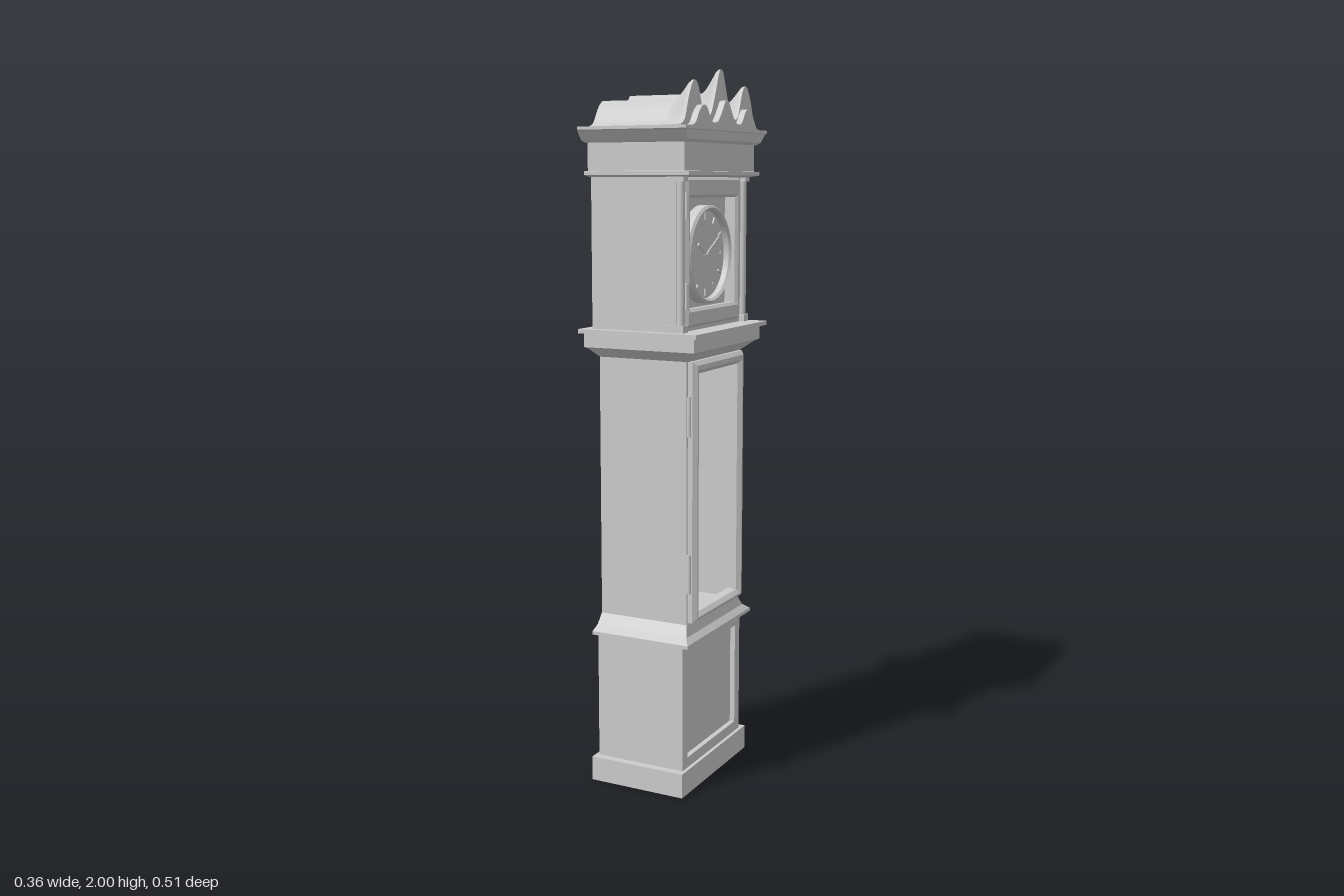
import * as THREE from 'three';
import { toCreasedNormals } from 'three/addons/utils/BufferGeometryUtils.js';

const mat = new THREE.MeshStandardMaterial({ color: 0xcccccc, side: THREE.DoubleSide });

export function createModel() {
  const model = new THREE.Group();
  model.name = 'longcaseClock';
  // Built facing local +z, then turned so the dial faces +x
  const clock = new THREE.Group();
  clock.name = 'clock';
  clock.rotation.y = Math.PI / 2;
  model.add(clock);

  const add = (name, geo, x = 0, y = 0, z = 0) => {
    const m = new THREE.Mesh(geo, mat);
    m.name = name;
    m.position.set(x, y, z);
    clock.add(m);
    return m;
  };
  // Box given by its limits
  const box = (name, x0, x1, y0, y1, z0, z1) =>
    add(name, new THREE.BoxGeometry(x1 - x0, y1 - y0, z1 - z0), (x0 + x1) / 2, (y0 + y1) / 2, (z0 + z1) / 2);

  // Stack of rectangular sections [y, halfWidth, back, front], closed at both ends
  const moulding = (name, levels) => {
    const pos = [];
    const ring = ([y, w, b, f]) => [[-w, y, f], [w, y, f], [w, y, b], [-w, y, b]];
    const quad = (a, b, c, d) => [a, b, c, a, c, d].forEach(p => pos.push(...p));
    const rings = levels.map(ring);
    for (let i = 0; i < rings.length - 1; i++) {
      for (let k = 0; k < 4; k++) {
        const n = (k + 1) % 4;
        quad(rings[i][k], rings[i][n], rings[i + 1][n], rings[i + 1][k]);
      }
    }
    const [p, t] = [rings[0], rings[rings.length - 1]];
    quad(p[3], p[2], p[1], p[0]);
    quad(t[0], t[1], t[2], t[3]);
    const g = new THREE.BufferGeometry();
    g.setAttribute('position', new THREE.Float32BufferAttribute(pos, 3));
    g.computeVertexNormals();
    return add(name, g);
  };

  // Rectangular frame [halfWidth, bottom, top] outside and inside
  const rect = (path, [w, b, t]) => path.moveTo(-w, b).lineTo(w, b).lineTo(w, t).lineTo(-w, t).closePath();
  const frame = (name, outer, inner, z0, z1, bevel = 0) => {
    const s = rect(new THREE.Shape(), outer);
    s.holes.push(rect(new THREE.Path(), inner));
    const g = new THREE.ExtrudeGeometry(s, {
      depth: z1 - z0 - bevel, bevelEnabled: bevel > 0, bevelThickness: bevel,
      bevelSize: bevel, bevelOffset: -bevel, bevelSegments: 1,
    });
    return add(name, g, 0, 0, z0);
  };

  // Base with a sunk front panel
  box('plinth', -0.21, 0.21, 0, 0.07, -0.16, 0.13);
  box('baseBody', -0.187, 0.187, 0.07, 0.44, -0.15, 0.105);
  frame('basePanelFrame', [0.187, 0.07, 0.44], [0.156, 0.1, 0.4], 0.105, 0.12);
  moulding('baseMoulding', [
    [0.432, 0.19, -0.15, 0.125], [0.435, 0.207, -0.157, 0.145], [0.445, 0.207, -0.157, 0.145],
    [0.46, 0.185, -0.153, 0.13], [0.49, 0.166, -0.15, 0.121]]);

  // Hollow trunk and its open door
  box('trunkBack', -0.165, 0.165, 0.46, 1.24, -0.15, -0.135);
  for (const s of [-1, 1]) box('trunkSide', s * 0.1575 - 0.0075, s * 0.1575 + 0.0075, 0.46, 1.24, -0.15, 0.105);
  frame('trunkFront', [0.165, 0.46, 1.24], [0.137, 0.52, 1.19], 0.105, 0.12);
  frame('trunkDoor', [0.158, 0.495, 1.225], [0.13, 0.52, 1.19], 0.12, 0.145, 0.011);
  for (const y of [0.635, 1.075])
    add('doorHinge', new THREE.CylinderGeometry(0.006, 0.006, 0.11, 10), -0.16, y, 0.125);

  // Pendulum
  add('pendulumRod', new THREE.CylinderGeometry(0.021, 0.021, 0.41, 20), 0, 1.035, 0);
  const bob = add('pendulumBob', new THREE.SphereGeometry(0.063, 32, 16), 0, 0.775, 0);
  bob.scale.z = 0.35;

  // Weights hanging on beaded chains
  for (const s of [-1, 1]) {
    for (let i = 0; i < 9; i++) {
      const bead = add('chainBead', new THREE.SphereGeometry(0.012, 10, 8), s * 0.083, 1.035 + i * 0.021, 0.02);
      bead.scale.x = 0.9;
    }
    add('weight', new THREE.CylinderGeometry(0.013, 0.013, 0.14, 16), s * 0.083, 0.96, 0.02);
  }

  // Hood base shelf
  moulding('hoodShelf', [
    [1.225, 0.165, -0.15, 0.125], [1.25, 0.2, -0.165, 0.155], [1.255, 0.212, -0.172, 0.165],
    [1.293, 0.212, -0.172, 0.165], [1.294, 0.23, -0.18, 0.18], [1.306, 0.23, -0.18, 0.18]]);

  // Hood case with a square bevelled opening around the dial
  box('hoodBody', -0.203, 0.203, 1.306, 1.73, -0.15, 0.08);
  frame('hoodFront', [0.19, 1.306, 1.73], [0.153, 1.36, 1.675], 0.08, 0.115);
  frame('hoodDoor', [0.166, 1.315, 1.715], [0.146, 1.365, 1.66], 0.1, 0.123, 0.008);
  for (const s of [-1, 1]) {
    add('hoodColumn', new THREE.CylinderGeometry(0.011, 0.011, 0.38, 16), s * 0.194, 1.515, 0.117);
    for (const y of [1.316, 1.713])
      box('columnBlock', s * 0.194 - 0.014, s * 0.194 + 0.014, y - 0.01, y + 0.01, 0.08, 0.131);
    box('hoodCorner', s * 0.19 - 0.013, s * 0.19 + 0.013, 1.306, 1.73, 0.08, 0.108);
  }
  for (const y of [1.4, 1.64])
    add('hoodHinge', new THREE.CylinderGeometry(0.005, 0.005, 0.07, 10), -0.167, y, 0.12);

  // Dial, bezel, hour marks and hands
  const cy = 1.505;
  const face = add('dialFace', new THREE.CylinderGeometry(0.13, 0.13, 0.02, 48), 0, cy, 0.082);
  face.rotation.x = Math.PI / 2;
  const bezelProfile = [[0.122, 0], [0.122, 0.028], [0.128, 0.034], [0.135, 0.028], [0.135, 0]];
  const bezel = add('dialBezel', toCreasedNormals(new THREE.LatheGeometry(
    bezelProfile.map(([r, h]) => new THREE.Vector2(r, h)), 48), 0.5), 0, cy, 0.08);
  bezel.rotation.x = Math.PI / 2;
  for (let i = 0; i < 12; i++) {
    const a = i * Math.PI / 6;
    const mark = add('hourMark', new THREE.BoxGeometry(0.006, 0.02, 0.004), 0.104 * Math.sin(a), cy + 0.104 * Math.cos(a), 0.094);
    mark.rotation.z = -a;
  }
  const hand = (name, len, w, a) => {
    const m = add(name, new THREE.BoxGeometry(w, len, 0.004), Math.sin(a) * len * 0.42, cy + Math.cos(a) * len * 0.42, 0.098);
    m.rotation.z = -a;
  };
  hand('hourHand', 0.065, 0.007, -Math.PI / 3);
  hand('minuteHand', 0.1, 0.005, Math.PI / 3);
  add('handPivot', new THREE.SphereGeometry(0.007, 12, 8), 0, cy, 0.098);

  // Frieze and cornice
  moulding('frieze', [
    [1.715, 0.207, -0.152, 0.13], [1.72, 0.224, -0.16, 0.155], [1.73, 0.224, -0.16, 0.155],
    [1.731, 0.218, -0.151, 0.14], [1.81, 0.218, -0.151, 0.14]]);
  moulding('cornice', [
    [1.805, 0.225, -0.155, 0.145], [1.812, 0.232, -0.163, 0.155],
    [1.835, 0.25, -0.163, 0.16], [1.838, 0.256, -0.16, 0.163], [1.846, 0.256, -0.16, 0.163]]);

  // Scalloped roof: one wavy profile, its height following a rule along the depth
  const half = [[0.24, 0.004], [0.216, 0.02], [0.192, 0.08], [0.165, 0.118], [0.138, 0.105],
    [0.112, 0.042], [0.09, 0.026], [0.06, 0.04], [0.032, 0.1], [0.014, 0.145]];
  const crest = [...half.map(([x, y]) => [-x, y]), [0, 0.155], ...half.slice().reverse()]
    .map(([x, y]) => new THREE.Vector2(x, y));
  const scallop = (name, z0, z1, steps, width, height) => {
    const s = new THREE.Shape();
    s.moveTo(0.24, 0).lineTo(-0.24, 0).lineTo(-0.24, 0.004);
    s.splineThru(crest.slice(1));
    s.closePath();
    const g = new THREE.ExtrudeGeometry(s, { depth: z1 - z0, steps, curveSegments: 3, bevelEnabled: false });
    const p = g.attributes.position;
    for (let i = 0; i < p.count; i++) {
      const z = p.getZ(i) + z0;
      p.setXYZ(i, p.getX(i) * width(z), p.getY(i) * height(z), z);
    }
    g.computeVertexNormals();
    return add(name, toCreasedNormals(g, 0.7), 0, 1.845, 0);
  };
  const flare = z => THREE.MathUtils.clamp((z - 0.085) / 0.045, 0, 1);
  scallop('roof', -0.137, 0.14, 40, z => 0.975 + 0.025 * flare(z), z => 0.6 + 0.4 * flare(z) ** 1.3);
  scallop('pediment', 0.14, 0.158, 1, () => 0.88, () => 0.47);

  return model;
}
